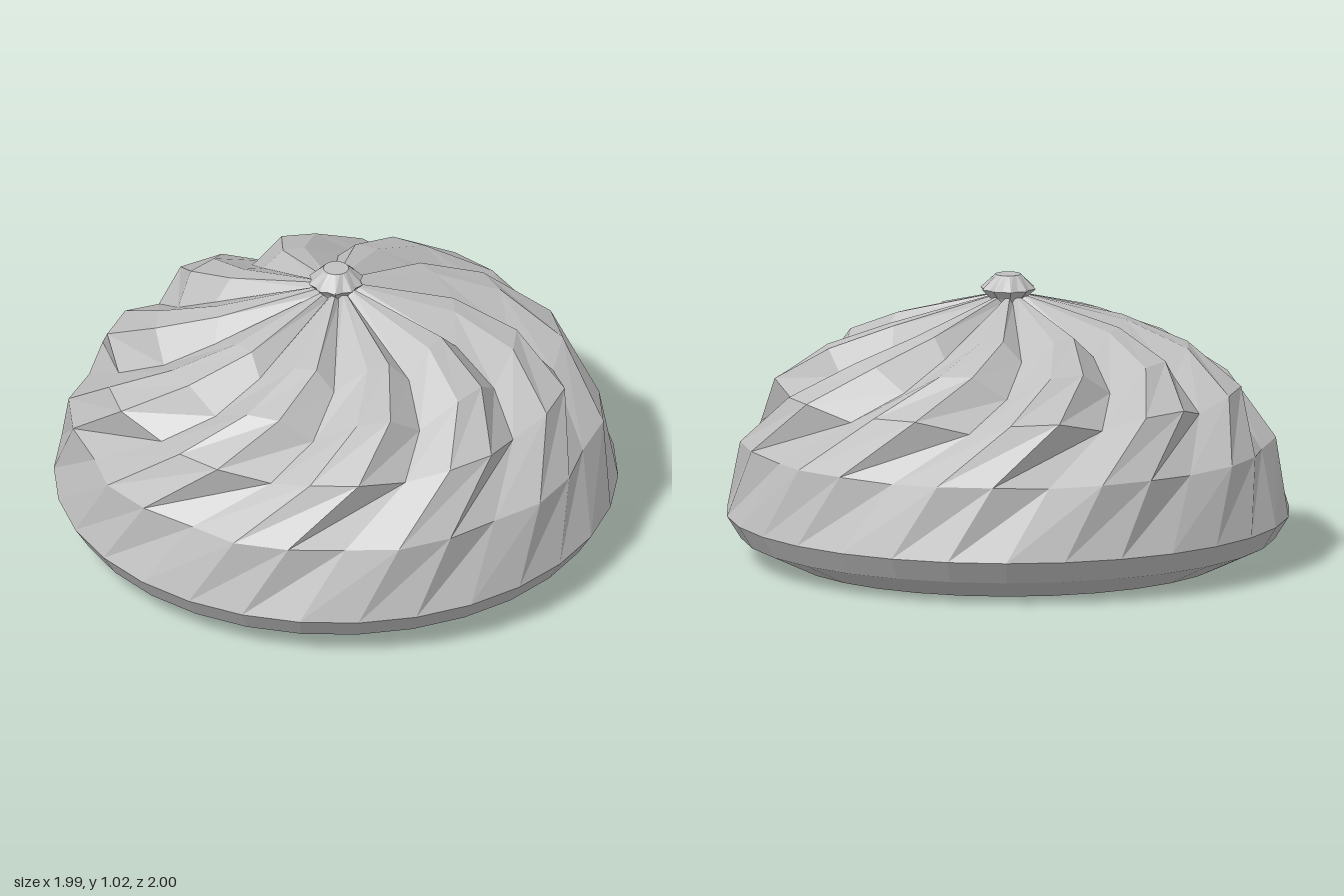
import * as THREE from 'three';

const rad = Math.PI / 180;
const polar = (r, y, deg) => [r * Math.cos(deg * rad), y, r * Math.sin(deg * rad)];

// Skin a stack of equal-sized rings from bottom to top and cap both ends
function loft(rings) {
  const n = rings[0].length, last = (rings.length - 1) * n;
  const points = rings.flat(), index = [];
  const bottom = points.push([0, rings[0][0][1], 0]) - 1;
  const top = points.push([0, rings[rings.length - 1][0][1], 0]) - 1;
  for (let i = 0; i < n; i++) {
    const k = (i + 1) % n;
    for (let j = 0; j < last; j += n) {
      index.push(j + i, j + n + i, j + k, j + n + i, j + n + k, j + k);
    }
    index.push(bottom, i, k, top, last + k, last + i);
  }
  const indexed = new THREE.BufferGeometry();
  indexed.setAttribute('position', new THREE.Float32BufferAttribute(points.flat(), 3));
  indexed.setIndex(index);
  const geometry = indexed.toNonIndexed();
  geometry.computeVertexNormals();
  return geometry;
}

// Plain round ring of 30 corners
const roundRing = (r, y) => Array.from({ length: 30 }, (_, i) => polar(r, y, 102 + i * 12));

// Swirled ring: ten repeats of crest, groove and shoulder, each [radius, height, angle]
function swirlRing(section) {
  const ring = [];
  for (let i = 0; i < 10; i++) {
    for (const [r, y, a] of section) ring.push(polar(r, y, a + i * 36));
  }
  return ring;
}

// Ring with alternating ridges for the knob
const flutedRing = (r, y, depth) =>
  Array.from({ length: 20 }, (_, i) => polar(i % 2 ? r - depth : r, y, i * 18));

export function createModel() {
  const group = new THREE.Group();
  const grey = new THREE.MeshStandardMaterial({ color: 0xc0c0c0 });
  grey.name = 'light grey';
  grey.flatShading = true;

  const add = (name, geometry) => {
    const mesh = new THREE.Mesh(geometry, grey);
    mesh.name = name;
    group.add(mesh);
  };

  // Bun: chamfered foot, sloping side, then the grooved swirl up to the neck
  add('swirledBun', loft([
    roundRing(0.78, 0),
    roundRing(0.95, 0.08),
    roundRing(1, 0.16),
    swirlRing([[0.95, 0.42, 93], [0.91, 0.41, 104.5], [0.94, 0.42, 117]]),
    swirlRing([[0.82, 0.62, 77], [0.77, 0.58, 88], [0.83, 0.625, 101]]),
    swirlRing([[0.64, 0.755, 64], [0.62, 0.68, 78], [0.64, 0.76, 89]]),
    swirlRing([[0.42, 0.845, 55], [0.45, 0.78, 71.5], [0.42, 0.85, 80]]),
    swirlRing([[0.07, 0.94, 49], [0.07, 0.92, 63], [0.07, 0.94, 73]]),
  ]));

  // Fluted knob on the crown
  add('topKnob', loft([
    flutedRing(0.06, 0.91, 0),
    flutedRing(0.07, 0.935, 0.01),
    flutedRing(0.1, 0.965, 0.012),
    flutedRing(0.045, 1.016, 0),
  ]));

  return group;
}
